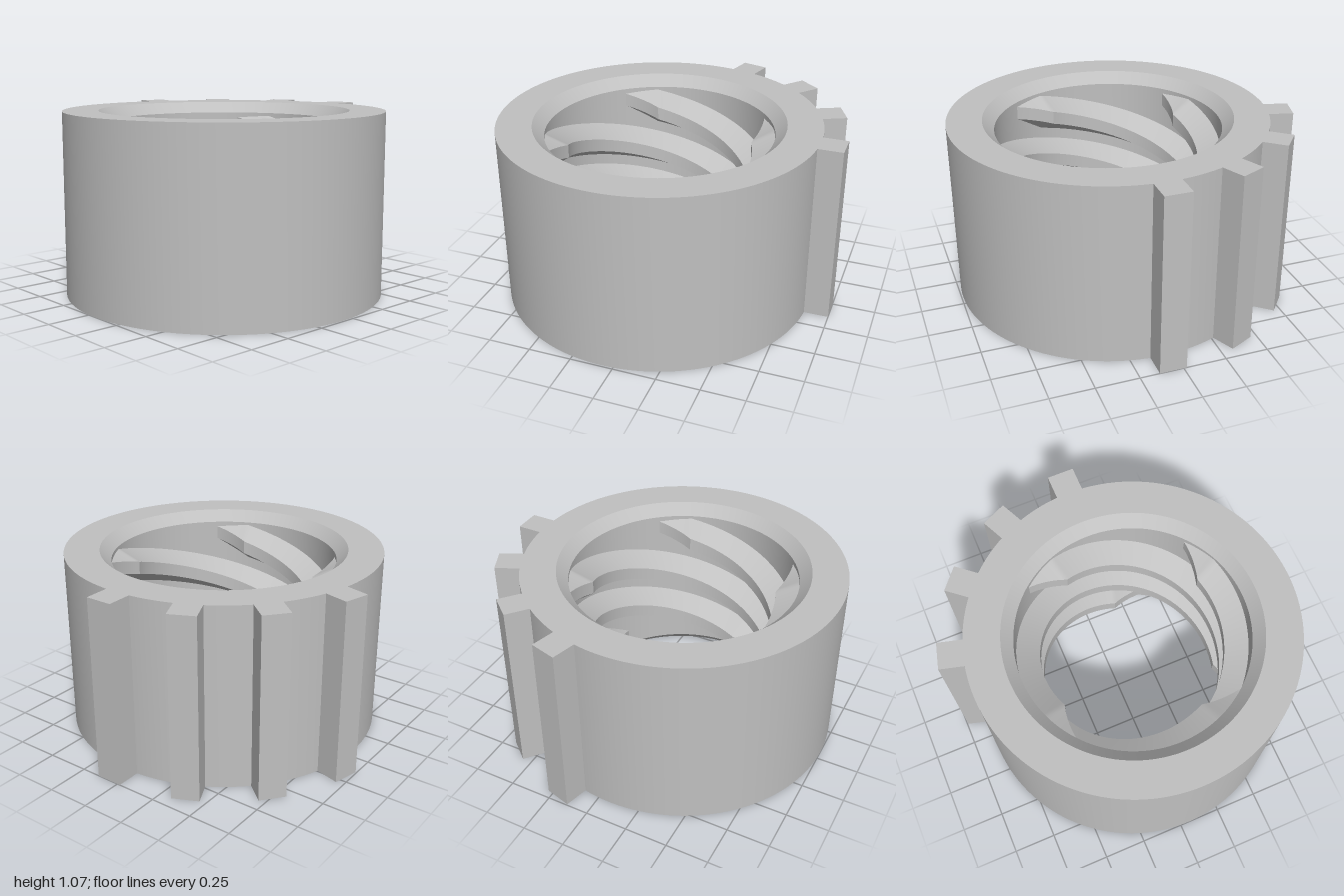
import * as THREE from 'three';
import { toCreasedNormals } from 'three/addons/utils/BufferGeometryUtils.js';

const HEIGHT = 1.065, OUTER = 0.93, BORE = 0.66, CHAMFER = 0.065;
const rad = THREE.MathUtils.degToRad;

// One multi-start thread rib: a trapezoid swept up a helix, fading into the bore at both ends
function threadGeometry(startDeg) {
  const sweep = 250, fade = 18, steps = 125;
  const yLow = 0.135, yHigh = 0.93, depth = 0.13;
  const crestHalf = 0.04, flankRatio = 0.55, embed = 0.004;
  const pos = [], index = [];
  for (let i = 0; i <= steps; i++) {
    const t = i / steps, deg = t * sweep;
    const h = depth * Math.max(0.01, Math.min(1, deg / fade, (sweep - deg) / fade));
    const a = rad(startDeg + deg), y = yLow + t * (yHigh - yLow);
    const rootHalf = crestHalf + h * flankRatio;
    const section = [
      [BORE + embed, -rootHalf], [BORE - h, -crestHalf],
      [BORE - h, crestHalf], [BORE + embed, rootHalf],
    ];
    for (const [r, dy] of section) pos.push(r * Math.cos(a), y + dy, -r * Math.sin(a));
  }
  for (let i = 0; i < steps; i++) {
    for (let j = 0; j < 3; j++) {
      const p = i * 4 + j, q = p + 4;
      index.push(p, p + 1, q, p + 1, q + 1, q);
    }
  }
  const g = new THREE.BufferGeometry();
  g.setAttribute('position', new THREE.Float32BufferAttribute(pos, 3));
  g.setIndex(index);
  return toCreasedNormals(g, rad(30));
}

export function createModel() {
  const model = new THREE.Group();
  model.name = 'threadedCollar';
  const grey = new THREE.MeshStandardMaterial({ color: 0xc0c0c0 });
  grey.name = 'plain grey';

  const collar = new THREE.Group();
  collar.name = 'collar';
  collar.position.set(-0.07, 0, 0.06);
  model.add(collar);

  const add = (geometry, name) => {
    const mesh = new THREE.Mesh(geometry, grey);
    mesh.name = name;
    collar.add(mesh);
    return mesh;
  };

  // Ring body with a chamfer at both mouths of the bore
  const profile = [
    [BORE, CHAMFER], [BORE + CHAMFER, 0], [OUTER, 0], [OUTER, HEIGHT],
    [BORE + CHAMFER, HEIGHT], [BORE, HEIGHT - CHAMFER], [BORE, CHAMFER],
  ].map(([r, y]) => new THREE.Vector2(r, y));
  add(toCreasedNormals(new THREE.LatheGeometry(profile, 128), rad(30)), 'ringBody');

  // Four grip ribs on the outside, 25 degrees apart
  const inner = 0.88, tip = 1.07;
  const ribShape = new THREE.BoxGeometry(tip - inner, HEIGHT, 0.155);
  ribShape.translate((inner + tip) / 2, HEIGHT / 2, 0);
  for (let i = 0; i < 4; i++) add(ribShape, 'gripRib' + (i + 1)).rotation.y = rad(25 * i);

  // Four-start internal thread
  for (let i = 0; i < 4; i++) add(threadGeometry(-120 + 90 * i), 'threadStart' + (i + 1));

  return model;
}
